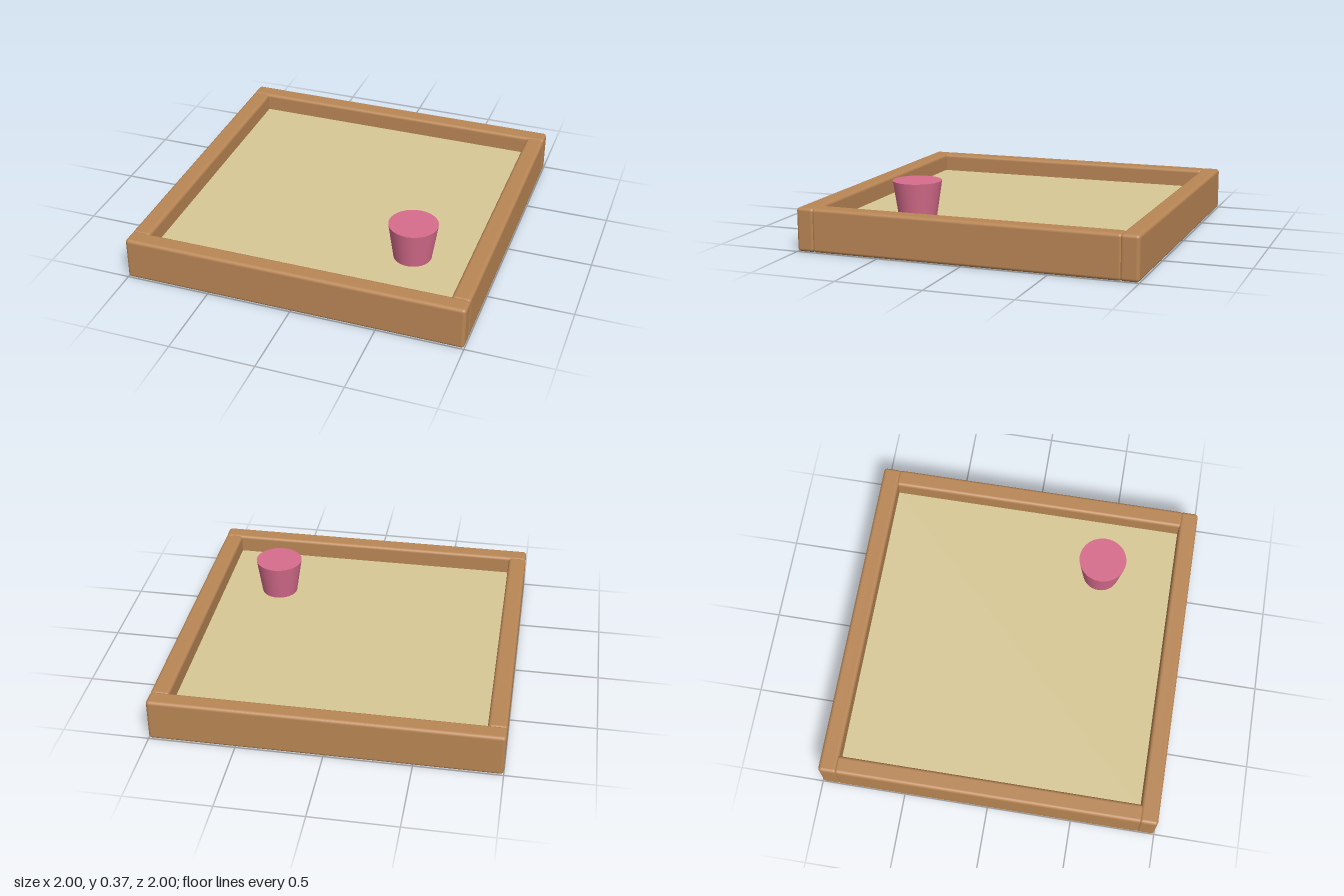
import * as THREE from 'three';
import { RoundedBoxGeometry } from 'three/addons/geometries/RoundedBoxGeometry.js';

const HEIGHT = 0.255;    // plank height
const THICK = 0.108;     // plank thickness
const SAND_TOP = 0.146;

export function createModel() {
  const model = new THREE.Group();
  model.name = 'sandbox';

  const material = (name, color) => {
    const m = new THREE.MeshStandardMaterial({ color });
    m.name = name;
    return m;
  };
  const wood = material('wood', 0xb98655);
  const sand = material('sand', 0xd8c896);
  const pink = material('pink', 0xd66c8c);

  const add = (name, geometry, mat, x, y, z) => {
    const mesh = new THREE.Mesh(geometry, mat);
    mesh.name = name;
    mesh.position.set(x, y, z);
    model.add(mesh);
  };

  // Frame: full-width front and back planks, with side planks between them
  const endPlank = new RoundedBoxGeometry(2, HEIGHT, THICK, 4, 0.02);
  const sidePlank = new RoundedBoxGeometry(THICK, HEIGHT, 1.81, 4, 0.02);
  const offset = 1 - THICK / 2;
  for (const s of [1, -1]) {
    add(s > 0 ? 'frontPlank' : 'backPlank', endPlank, wood, 0, HEIGHT / 2, s * offset);
    add(s > 0 ? 'leftPlank' : 'rightPlank', sidePlank, wood, s * offset, HEIGHT / 2, 0);
  }

  // Sand bed filling the frame, slightly above the ground
  const bottom = 0.012;
  add('sandBed', new THREE.BoxGeometry(1.82, SAND_TOP - bottom, 1.82), sand,
    0, (SAND_TOP + bottom) / 2, 0);

  // Tapered toy bucket standing on the sand
  const bucketHeight = 0.365 - SAND_TOP;
  add('bucket', new THREE.CylinderGeometry(0.143, 0.11, bucketHeight, 32), pink,
    0.543, SAND_TOP + bucketHeight / 2, 0.455);

  return model;
}
